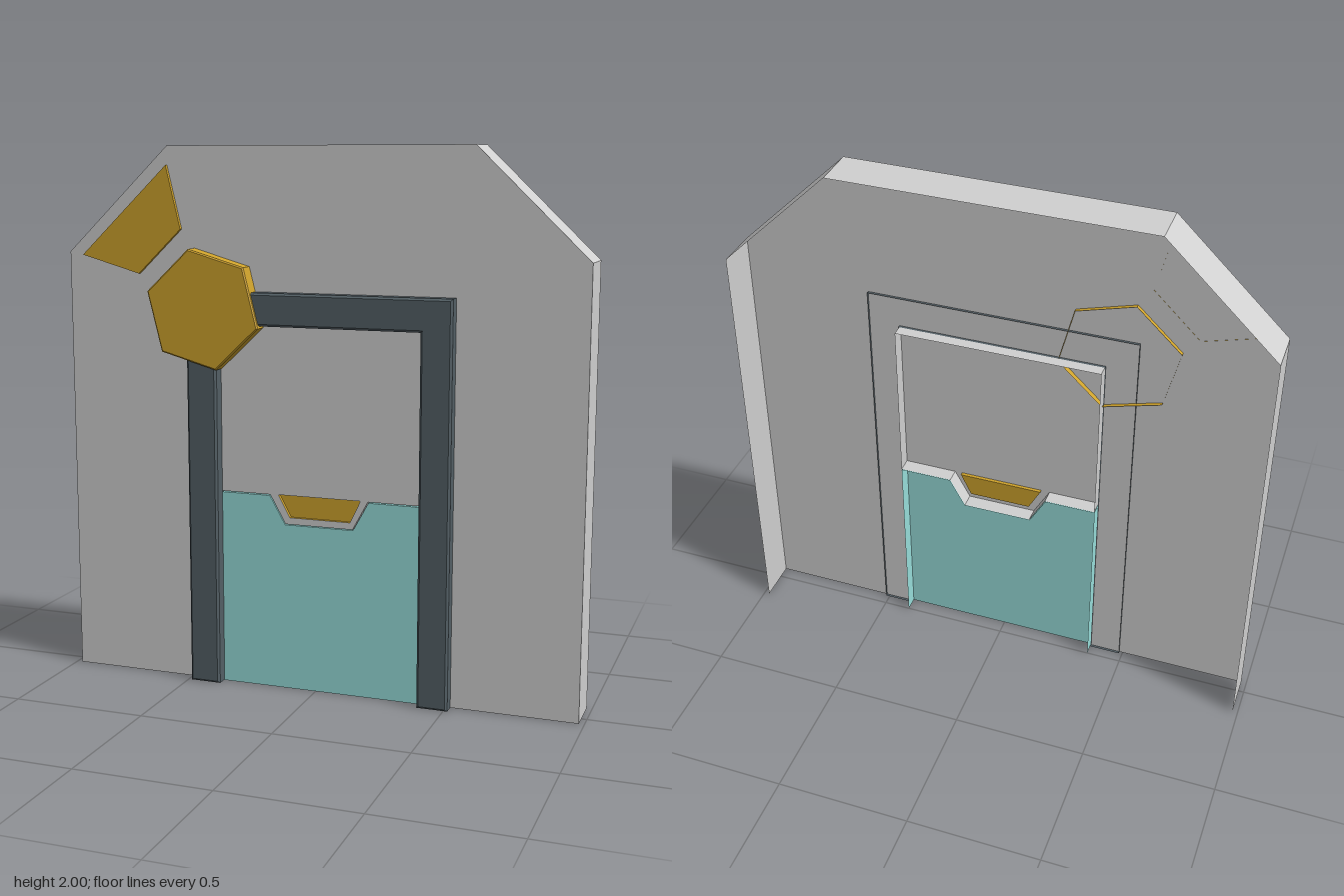
import * as THREE from 'three';

const paint = (name, color) => {
  const m = new THREE.MeshStandardMaterial({ color, side: THREE.DoubleSide });
  m.name = name;
  return m;
};

// Move every edge of a counter-clockwise outline inwards by d
function inset(pts, d) {
  const n = pts.length;
  const normal = (a, b) => {
    const l = Math.hypot(b[0] - a[0], b[1] - a[1]);
    return [(a[1] - b[1]) / l, (b[0] - a[0]) / l];
  };
  return pts.map((p, i) => {
    const u = normal(pts[(i + n - 1) % n], p);
    const v = normal(p, pts[(i + 1) % n]);
    const k = d / (1 + u[0] * v[0] + u[1] * v[1]);
    return [p[0] + (u[0] + v[0]) * k, p[1] + (u[1] + v[1]) * k];
  });
}

// Front face plus side walls, open at the back; the front edge may be chamfered
function shell(name, material, pts, back, front, { bevel = 0, hole = null, openBottom = false } = {}) {
  const group = new THREE.Group();
  group.name = name;
  const toVec = (list) => list.map(([x, y]) => new THREE.Vector2(x, y));
  const facePts = bevel ? inset(pts, bevel) : pts;
  const shape = new THREE.Shape(toVec(facePts));
  if (hole) shape.holes.push(new THREE.Path(toVec(hole)));
  const face = new THREE.Mesh(new THREE.ShapeGeometry(shape), material);
  face.name = name + 'Face';
  face.position.z = front;
  group.add(face);

  const pos = [];
  const band = (a, za, b, zb) => a.forEach((p, i) => {
    const j = (i + 1) % a.length;
    if (openBottom && p[1] === 0 && a[j][1] === 0) return;
    const A = [...p, za], B = [...a[j], za], C = [...b[j], zb], D = [...b[i], zb];
    pos.push(...A, ...B, ...C, ...A, ...C, ...D);
  });
  band(pts, back, pts, front - bevel);
  if (bevel) band(pts, front - bevel, facePts, front);
  const geo = new THREE.BufferGeometry();
  geo.setAttribute('position', new THREE.Float32BufferAttribute(pos, 3));
  geo.computeVertexNormals();
  const sides = new THREE.Mesh(geo, material);
  sides.name = name + 'Sides';
  group.add(sides);
  return group;
}

export function createModel() {
  const root = new THREE.Group();
  root.name = 'doorway';
  const grey = paint('lightGrey', 0xd0d0d0);
  const dark = paint('slate', 0x546066);
  const gold = paint('gold', 0xcfa32c);
  const cyan = paint('paleCyan', 0x98dedb);

  // Wall with clipped upper corners and a door opening
  const opening = [[-0.37, 0.0], [0.4, 0.0], [0.4, 1.36], [-0.37, 1.36]];
  root.add(shell('wall', grey, [
    [-0.98, 0], [-0.37, 0], [-0.37, 1.36], [0.4, 1.36], [0.4, 0],
    [0.98, 0], [0.98, 1.61], [0.575, 2], [-0.575, 2], [-0.98, 1.61],
  ].filter(Boolean), 0.05, 0.05));
  // Outer rim running back from the wall face
  const rimPts = [[0.98, 0], [0.98, 1.61], [0.575, 2], [-0.575, 2], [-0.98, 1.61], [-0.98, 0]];
  const rimPos = [];
  for (let i = 0; i < rimPts.length - 1; i++) {
    const [a, b] = [rimPts[i], rimPts[i + 1]];
    const A = [...a, -0.112], B = [...b, -0.112], C = [...b, 0.05], D = [...a, 0.05];
    rimPos.push(...A, ...B, ...C, ...A, ...C, ...D);
  }
  const rimGeo = new THREE.BufferGeometry();
  rimGeo.setAttribute('position', new THREE.Float32BufferAttribute(rimPos, 3));
  rimGeo.computeVertexNormals();
  const rim = new THREE.Mesh(rimGeo, grey);
  rim.name = 'wallRim';
  root.add(rim);

  // Door frame
  root.add(shell('doorFrame', dark, [
    [-0.487, 0], [-0.37, 0], [-0.37, 1.36], [0.4, 1.36], [0.4, 0],
    [0.515, 0], [0.515, 1.48], [-0.487, 1.48],
  ], 0.04, 0.1, { bevel: 0.008 }));

  // Upper door panel with a tongue that surrounds the handle
  const [[x0], [x1]] = [opening[0], opening[1]];
  const e = 0.002;
  const handle = [[-0.1, 0.655], [0.132, 0.655], [0.172, 0.738], [-0.145, 0.738]];
  root.add(shell('upperDoor', grey, [
    [x0 + e, 0.737], [-0.177, 0.737], [-0.117, 0.63], [0.142, 0.63], [0.2, 0.737],
    [x1 - e, 0.737], [x1 - e, 1.358], [x0 + e, 1.358],
  ], 0.0, 0.055, { hole: handle }));

  // Lower door panel, notched for the tongue
  root.add(shell('lowerDoor', cyan, [
    [x0 + e, 0], [x1 - e, 0], [x1 - e, 0.733], [0.202, 0.733],
    [0.144, 0.627], [-0.119, 0.627], [-0.179, 0.733], [x0 + e, 0.733],
  ], 0.0, 0.055, { openBottom: true }));

  // Sunken handle plate
  root.add(shell('handle', gold, handle, 0.055, 0.042));

  // Hexagonal lamp over the frame corner
  root.add(shell('hexagonBadge', gold, [
    [-0.635, 1.475], [-0.58, 1.255], [-0.365, 1.195],
    [-0.2, 1.352], [-0.255, 1.57], [-0.47, 1.632],
  ], 0.035, 0.113, { bevel: 0.005 }));

  // Flat plate beside it
  root.add(shell('cornerPlate', gold, [
    [-0.92, 1.6], [-0.69, 1.535], [-0.52, 1.7], [-0.575, 1.93],
  ], 0.049, 0.064));

  return root;
}
